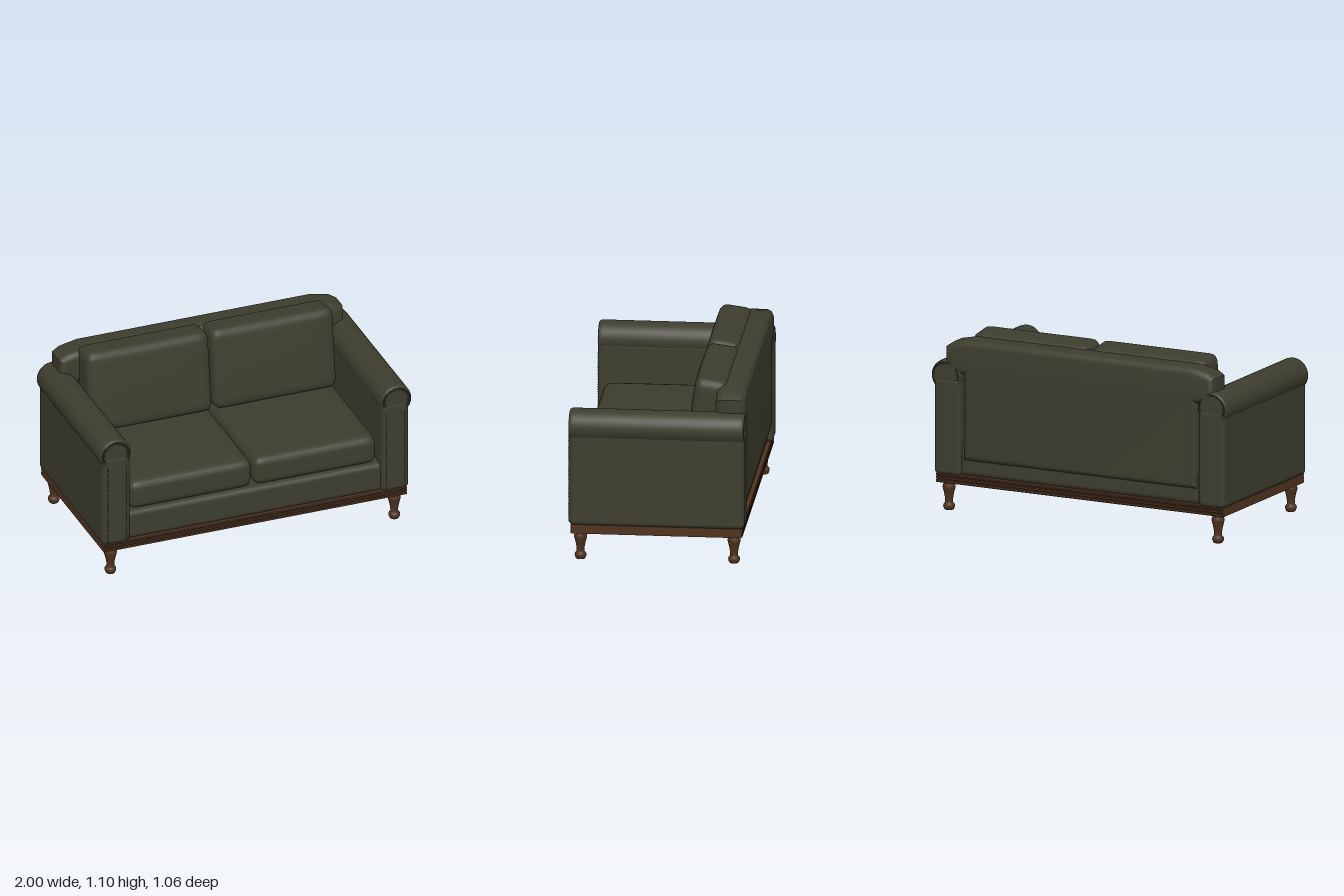
import * as THREE from 'three';
import { RoundedBoxGeometry } from 'three/addons/geometries/RoundedBoxGeometry.js';
import { toCreasedNormals } from 'three/addons/utils/BufferGeometryUtils.js';

export function createModel() {
  const sofa = new THREE.Group();
  sofa.name = 'sofa';
  const material = (name, color) => {
    const m = new THREE.MeshStandardMaterial({ color });
    m.name = name;
    return m;
  };
  const fabric = material('olive fabric', 0x3d3d2e);
  const wood = material('brown wood', 0x4f321f);
  const stud = material('dark bronze', 0x30261a);

  const add = (name, geometry, mat, x = 0, y = 0, z = 0, parent = sofa) => {
    const mesh = new THREE.Mesh(geometry, mat);
    mesh.name = name;
    mesh.position.set(x, y, z);
    parent.add(mesh);
    return mesh;
  };
  const points = (list) => list.map(([x, y]) => new THREE.Vector2(x, y));
  // Rounded box given by its limits on each axis
  const block = (name, [x0, x1], [y0, y1], [z0, z1], radius) =>
    add(name, new RoundedBoxGeometry(x1 - x0, y1 - y0, z1 - z0, 5, radius), fabric,
      (x0 + x1) / 2, (y0 + y1) / 2, (z0 + z1) / 2);

  // Wooden plinth, grooved along the front and back
  const edge = [[0.505, 0.17], [0.515, 0.175], [0.515, 0.186], [0.507, 0.189], [0.507, 0.192],
    [0.515, 0.195], [0.515, 0.205], [0.507, 0.208], [0.507, 0.211], [0.515, 0.214], [0.515, 0.222], [0.51, 0.226]];
  const mirrored = edge.map(([z, y]) => [-z, y]).reverse();
  const plinth = new THREE.ExtrudeGeometry(new THREE.Shape(points([...edge, ...mirrored])),
    { depth: 1.94, bevelEnabled: false });
  plinth.translate(0, 0, -0.97).rotateY(Math.PI / 2);
  add('plinth', plinth, wood);

  // Turned legs
  const legProfile = new THREE.SplineCurve(points([[0.028, 0.002], [0.035, 0.02], [0.033, 0.034],
    [0.024, 0.045], [0.025, 0.075], [0.032, 0.11], [0.039, 0.138], [0.035, 0.156], [0.031, 0.175]])).getPoints(24);
  const legGeometry = new THREE.LatheGeometry([...points([[0, 0], [0.026, 0]]), ...legProfile], 24);
  for (const x of [-0.91, 0.91]) for (const z of [-0.46, 0.46]) add('leg', legGeometry, wood, x, 0, z);

  // Seat base
  block('seatBase', [-0.83, 0.83], [0.222, 0.41], [-0.495, 0.505], 0.035);

  // Backrest: T-shaped outline whose shoulders rest on the arms
  const bevel = 0.045;
  const half = [[0.79, 0.32], [0.79, 0.86], [0.91, 0.86], [0.91, 1.03], [0.89, 1.043], [0.79, 1.064]];
  const inset = half.map(([x, y], i) => [x - bevel, i === 0 ? y + bevel : i < 3 ? y + 0.03 : y - bevel]);
  const outline = new THREE.Shape(points([...inset, ...inset.map(([x, y]) => [-x, y]).reverse()]));
  const back = new THREE.ExtrudeGeometry(outline, { depth: 0.18 - 2 * bevel, bevelEnabled: true,
    bevelThickness: bevel, bevelSize: bevel, bevelSegments: 6 });
  add('backrest', toCreasedNormals(back, 0.7), fabric, 0, 0, -0.525 + bevel);

  // Rolled arms with a piped end at front and back
  const rollEnd = [[0, 0.524], [0.078, 0.524], [0.08, 0.517], [0.084, 0.517], [0.087, 0.525], [0.093, 0.522], [0.098, 0.514], [0.1, 0.5]];
  const rollProfile = [...rollEnd.map(([r, z]) => [r, -z]), ...rollEnd.slice().reverse()];
  const rollGeometry = toCreasedNormals(new THREE.LatheGeometry(points(rollProfile), 40).rotateX(Math.PI / 2), 0.6);
  const studGeometry = new THREE.SphereGeometry(0.0035, 6, 4);
  for (const side of [-1, 1]) {
    block('armPanel', side < 0 ? [-0.983, -0.805] : [0.805, 0.983], [0.222, 0.82], [-0.527, 0.527], 0.03);
    add('armRoll', rollGeometry, fabric, side * 0.9, 0.83, 0);

    // Stud trim down both edges of the arm front and round the roll
    const studs = new THREE.Group();
    studs.name = 'armStuds';
    sofa.add(studs);
    for (let i = 0; i < 34; i++) {
      const y = 0.245 + i * 0.0152;
      for (const x of [0.833, 0.952]) add('stud', studGeometry, stud, side * x, y, 0.527, studs);
    }
    for (let i = 0; i < 30; i++) {
      const a = (i / 30) * Math.PI * 2;
      add('stud', studGeometry, stud, side * 0.9 + 0.074 * Math.cos(a), 0.83 + 0.074 * Math.sin(a), 0.524, studs);
    }
  }

  // Seat and back cushions, gently crowned toward the middle of their broad faces
  const cushion = (name, w, h, d, axis, crown) => {
    const geometry = new THREE.BoxGeometry(w, h, d, 28, 20, 28);
    const size = [w, h, d], r = 0.05, p = geometry.attributes.position;
    for (let i = 0; i < p.count; i++) {
      const v = [p.getX(i), p.getY(i), p.getZ(i)];
      const core = v.map((c, k) => THREE.MathUtils.clamp(c, -size[k] / 2 + r, size[k] / 2 - r));
      const off = new THREE.Vector3(...v.map((c, k) => c - core[k])).normalize().multiplyScalar(r).toArray();
      const out = core.map((c, k) => c + off[k]);
      let swell = crown;
      for (let k = 0; k < 3; k++) if (k !== axis) swell *= 1 - (2 * out[k] / size[k]) ** 2;
      out[axis] += swell * (2 * out[axis] / size[axis]);
      p.setXYZ(i, ...out);
    }
    return toCreasedNormals(geometry, 1.0);
  };
  const seatGeometry = cushion('seat', 0.785, 0.185, 0.8, 1, 0.008);
  const backGeometry = cushion('back', 0.785, 0.515, 0.2, 2, 0.008);
  for (const side of [-1, 1]) {
    add('seatCushion', seatGeometry, fabric, side * 0.399, 0.495, 0.085);
    add('backCushion', backGeometry, fabric, side * 0.399, 0.835, -0.28).rotation.x = -0.136;
  }
  return sofa;
}
